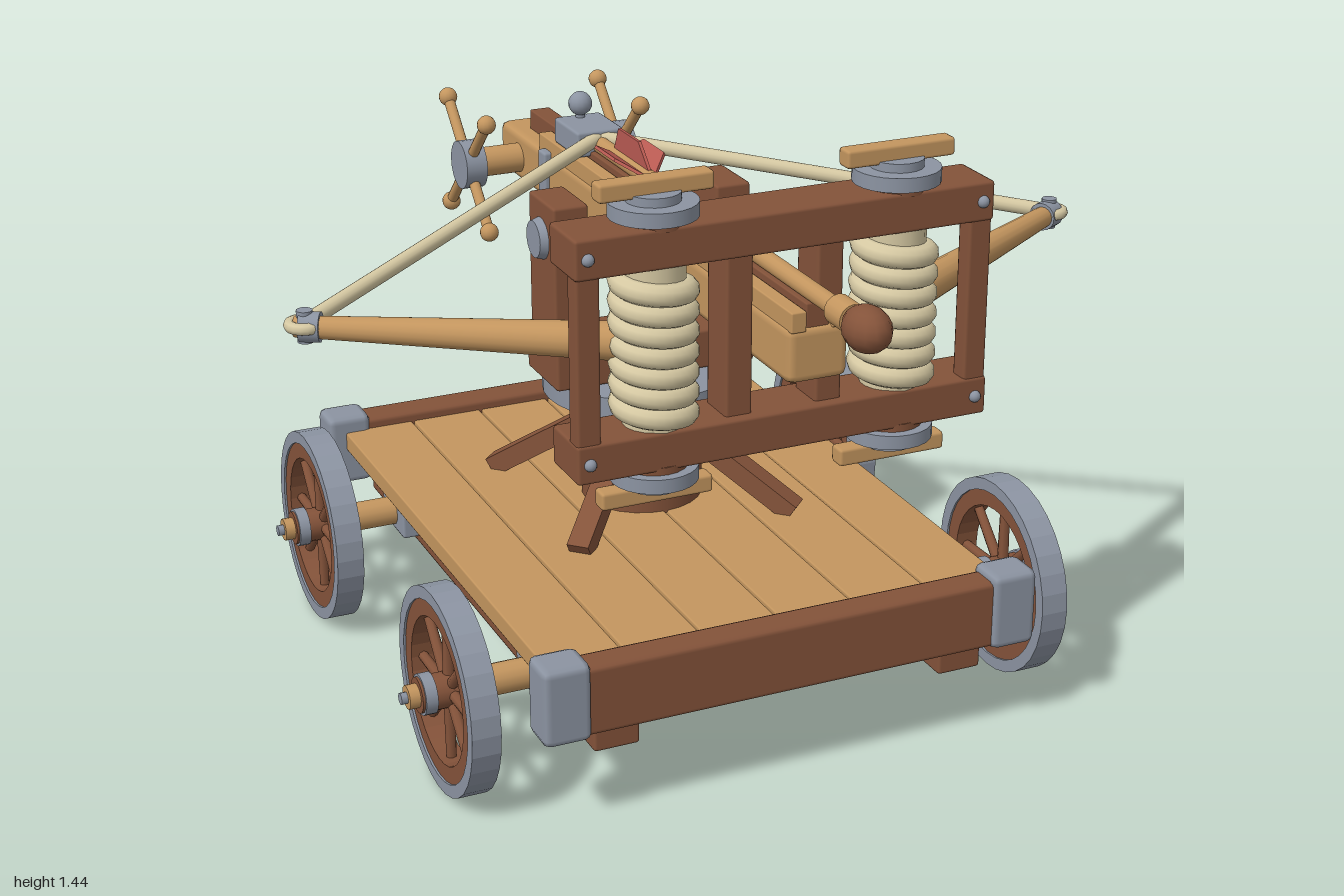
import * as THREE from 'three';
import { RoundedBoxGeometry } from 'three/addons/geometries/RoundedBoxGeometry.js';

const mat = (name, color, side = THREE.FrontSide) => {
  const m = new THREE.MeshStandardMaterial({ color, side });
  m.name = name;
  return m;
};

export function createModel() {
  const model = new THREE.Group();
  model.name = 'torsionBoltThrower';
  const light = mat('lightWood', 0xc4965f);
  const brown = mat('brownWood', 0x84533a);
  const metal = mat('metal', 0x8c94a2);
  const cord = mat('cord', 0xd6c9a3);
  const red = mat('redFeather', 0xb85a52, THREE.DoubleSide);
  const V = (x, y, z) => new THREE.Vector3(x, y, z);

  const add = (name, geo, m, x = 0, y = 0, z = 0, parent = model) => {
    const mesh = new THREE.Mesh(geo, m);
    mesh.name = name;
    mesh.position.set(x, y, z);
    parent.add(mesh);
    return mesh;
  };
  // Box given by its limits on each axis
  const box = (name, m, x0, x1, y0, y1, z0, z1, bevel = 0.008) => add(name,
    new RoundedBoxGeometry(x1 - x0, y1 - y0, z1 - z0, 1, bevel), m,
    (x0 + x1) / 2, (y0 + y1) / 2, (z0 + z1) / 2);
  // Round rod between two points
  const rod = (name, m, a, b, ra, rb = ra, seg = 14, parent = model) => {
    const d = b.clone().sub(a);
    const mesh = add(name, new THREE.CylinderGeometry(rb, ra, d.length(), seg), m, 0, 0, 0, parent);
    mesh.position.copy(a).addScaledVector(d, 0.5);
    mesh.quaternion.setFromUnitVectors(V(0, 1, 0), d.normalize());
    return mesh;
  };
  const ball = (name, m, r, x, y, z, parent = model) =>
    add(name, new THREE.SphereGeometry(r, 14, 10), m, x, y, z, parent);

  // Wagon: deck planks, beams and corner caps
  for (let i = 0; i < 6; i++) {
    const x = -0.57 + i * 0.19;
    box('deckPlank', light, x + 0.003, x + 0.187, 0.325, 0.375, -0.86, 0.595, 0.005);
  }
  box('frontBeam', brown, -0.54, 0.54, 0.235, 0.4, 0.58, 0.66, 0.012);
  box('backBeam', brown, -0.54, 0.54, 0.235, 0.4, -0.94, -0.85, 0.012);
  for (const s of [-1, 1]) {
    const a = s * 0.43;
    box('sideBeam', brown, a - 0.055, a + 0.055, 0.18, 0.322, -0.9, 0.64);
    for (const z of [0.62, -0.895]) {
      box('cornerCap', metal, s * 0.555 - 0.057, s * 0.555 + 0.057, 0.23, 0.417, z - 0.052, z + 0.052, 0.018);
    }
  }

  // Wheels on their axles
  const tyreProfile = (r0, r1, w) => new THREE.LatheGeometry([
    [r0, -w], [r1, -w], [r1, w], [r0, w], [r0, -w],
  ].map(([x, y]) => new THREE.Vector2(x, y)), 32);
  const flatRing = (r0, r1, w) => {
    const g = tyreProfile(r0, r1, w).toNonIndexed();
    g.computeVertexNormals();
    return g;
  };
  for (const z of [0.35, -0.605]) {
    rod('axle', light, V(-0.7, 0.247, z), V(0.7, 0.247, z), 0.037);
    for (const s of [-1, 1]) {
      box('axleBracket', metal, s * 0.5 - 0.025, s * 0.5 + 0.025, 0.197, 0.295, z - 0.08, z + 0.08);
      const wheel = new THREE.Group();
      wheel.name = 'wheel';
      wheel.position.set(s * 0.715, 0.247, z);
      wheel.rotation.z = -s * Math.PI / 2;
      model.add(wheel);
      add('tyre', flatRing(0.212, 0.242, 0.034), metal, 0, 0, 0, wheel);
      add('rim', flatRing(0.172, 0.214, 0.029), brown, 0, 0, 0, wheel);
      for (let i = 0; i < 8; i++) {
        const a = i * Math.PI / 4;
        const c = Math.cos(a), d = Math.sin(a);
        rod('spoke', brown, V(c * 0.03, 0, d * 0.03), V(c * 0.18, 0, d * 0.18), 0.014, 0.012, 8, wheel);
      }
      rod('hub', brown, V(0, -0.075, 0), V(0, 0.075, 0), 0.042, 0.042, 16, wheel);
      for (const y of [-0.055, 0.055]) {
        rod('hubBand', metal, V(0, y - 0.014, 0), V(0, y + 0.014, 0), 0.048, 0.048, 16, wheel);
      }
      rod('axleEnd', light, V(0, 0.07, 0), V(0, 0.1, 0), 0.028, 0.028, 12, wheel);
      rod('axlePin', metal, V(0, 0.09, 0), V(0, 0.115, 0), 0.014, 0.014, 8, wheel);
    }
  }

  // Pedestal, struts and turntable
  const pz = -0.21;
  rod('pedestal', brown, V(0, 0.37, pz), V(0, 0.67, pz), 0.15, 0.15, 24);
  rod('pedestalBand', metal, V(0, 0.49, pz), V(0, 0.53, pz), 0.158, 0.158, 24);
  rod('turntable', metal, V(0, 0.657, pz), V(0, 0.712, pz), 0.243, 0.243, 32);
  for (let i = 0; i < 4; i++) {
    const holder = new THREE.Group();
    holder.name = 'strutHolder';
    holder.position.set(0, 0, pz);
    holder.rotation.y = Math.PI / 4 + i * Math.PI / 2;
    model.add(holder);
    const strut = add('strut', new THREE.BoxGeometry(0.36, 0.05, 0.055), brown, 0.25, 0.475, 0, holder);
    strut.rotation.z = -0.57;
  }

  // Yoke with pivot
  box('yokeBase', brown, -0.26, 0.26, 0.712, 0.812, -0.305, -0.11);
  for (const s of [-1, 1]) {
    box('yokeUpright', brown, s * 0.21 - 0.045, s * 0.21 + 0.045, 0.8, 1.165, -0.29, -0.13);
    rod('pivotCap', metal, V(s * 0.25, 1.07, pz), V(s * 0.275, 1.07, pz), 0.053, 0.045, 20);
  }
  rod('pivot', metal, V(-0.25, 1.07, pz), V(0.25, 1.07, pz), 0.03);

  // Stock with rails, slider and bands
  box('stock', light, -0.072, 0.072, 1.008, 1.135, -0.965, 0.73, 0.02);
  for (const s of [-1, 1]) {
    box('rail', light, s * 0.048 - 0.018, s * 0.048 + 0.018, 1.125, 1.172, -0.7, 0.73, 0.004);
  }
  box('slider', brown, -0.027, 0.027, 1.125, 1.185, -0.86, 0.72, 0.004);
  for (const z of [0.115, -0.64]) box('stockBand', metal, -0.085, 0.085, 1.002, 1.142, z - 0.024, z + 0.024);
  box('triggerBlock', metal, -0.062, 0.062, 1.172, 1.237, -0.605, -0.45);
  rod('triggerStem', metal, V(0, 1.22, -0.58), V(0, 1.27, -0.58), 0.012);
  ball('triggerKnob', metal, 0.03, 0, 1.272, -0.58);
  rod('pullRope', cord, V(0, 1.21, -0.59), V(0, 1.11, -0.8), 0.013);

  // Bolt with head and feathers
  rod('boltShaft', light, V(0, 1.2, -0.45), V(0, 1.2, 0.85), 0.021);
  rod('boltCollar', light, V(0, 1.2, 0.81), V(0, 1.2, 0.88), 0.034);
  ball('boltHead', brown, 0.05, 0, 1.2, 0.935).scale.z = 1.3;
  const fin = new THREE.Shape([[0.36, 0.01], [0.33, 0.075], [0.21, 0.075], [0.14, 0.01]]
    .map(([x, y]) => new THREE.Vector2(x, y)));
  for (const a of [-1, 0, 1]) {
    const holder = new THREE.Group();
    holder.name = 'feather';
    holder.position.set(0, 1.2, 0);
    holder.rotation.z = a * Math.PI / 3;
    model.add(holder);
    const g = new THREE.ExtrudeGeometry(fin, { depth: 0.008, bevelEnabled: false });
    add('featherVane', g, red, -0.004, 0, 0, holder).rotation.y = Math.PI / 2;
  }

  // Winch
  const wy = 1.07, wz = -0.83;
  rod('winchDrum', light, V(-0.2, wy, wz), V(0.2, wy, wz), 0.038, 0.038, 18);
  for (const s of [-1, 1]) {
    rod('winchHub', metal, V(s * 0.18, wy, wz), V(s * 0.235, wy, wz), 0.062, 0.062, 20);
    for (let i = 0; i < 4; i++) {
      const a = Math.PI / 4 + i * Math.PI / 2;
      const y = wy + Math.sin(a) * 0.2, z = wz + Math.cos(a) * 0.2;
      rod('winchHandle', light, V(s * 0.21, wy, wz), V(s * 0.21, y, z), 0.014);
      ball('winchKnob', light, 0.024, s * 0.21, y, z);
    }
  }

  // Torsion frame
  const fz = 0.522;
  for (const [y0, y1] of [[0.8, 0.89], [1.257, 1.348]]) {
    box('frameBar', brown, -0.495, 0.495, y0, y1, fz - 0.072, fz + 0.072);
  }
  // Cord bundle wound as a helix
  const helix = new THREE.CatmullRomCurve3(Array.from({ length: 113 }, (_, i) => {
    const a = i / 16 * Math.PI * 2;
    return V(Math.cos(a) * 0.073, 0.91 + i / 112 * 0.325, Math.sin(a) * 0.073);
  }));
  const coil = new THREE.TubeGeometry(helix, 224, 0.026, 10);
  for (const s of [-1, 1]) {
    box('framePost', brown, s * 0.465 - 0.028, s * 0.465 + 0.028, 0.88, 1.265, 0.54, 0.59);
    box('innerPost', brown, s * 0.108 - 0.032, s * 0.108 + 0.032, 0.88, 1.265, 0.47, 0.57);
    const x = s * 0.288;
    add('cordCoil', coil, cord, x, 0, fz);
    rod('cordCore', cord, V(x, 0.88, fz), V(x, 1.26, fz), 0.07, 0.07, 18);
    for (const d of [-1, 1]) {
      const at = h => V(x, 1.0745 + d * h, fz);
      rod('washerNeck', brown, at(0.265), at(0.295), 0.075, 0.075, 20);
      rod('washer', metal, at(0.282), at(0.315), 0.098, 0.098, 24);
      rod('washerHub', metal, at(0.31), at(0.335), 0.06, 0.06, 20);
      const y = 1.0745 + d * 0.347;
      box('tensionBar', light, x - 0.132, x + 0.132, y - 0.021, y + 0.021, fz - 0.023, fz + 0.023);
      for (const f of [-1, 1]) {
        ball('rivet', metal, 0.014, s * 0.466, 1.0745 + d * 0.229, fz + f * 0.072);
      }
    }

    // Bow arm, tip and string
    rod('bowArm', light, V(x, 1.07, fz), V(s * 0.955, 1.07, 0.115), 0.046, 0.024, 16);
    rod('tipCollar', metal, V(s * 0.905, 1.07, 0.143), V(s * 0.945, 1.07, 0.121), 0.034, 0.034, 16);
    rod('tipPin', metal, V(s * 0.935, 1.035, 0.125), V(s * 0.935, 1.108, 0.125), 0.018);
    const loop = add('stringLoop', new THREE.TorusGeometry(0.033, 0.014, 8, 18), cord, s * 0.935, 1.075, 0.125);
    loop.rotation.x = Math.PI / 2;
    rod('bowString', cord, V(s * 0.93, 1.075, 0.115), V(0, 1.215, -0.465), 0.018);
  }
  return model;
}
